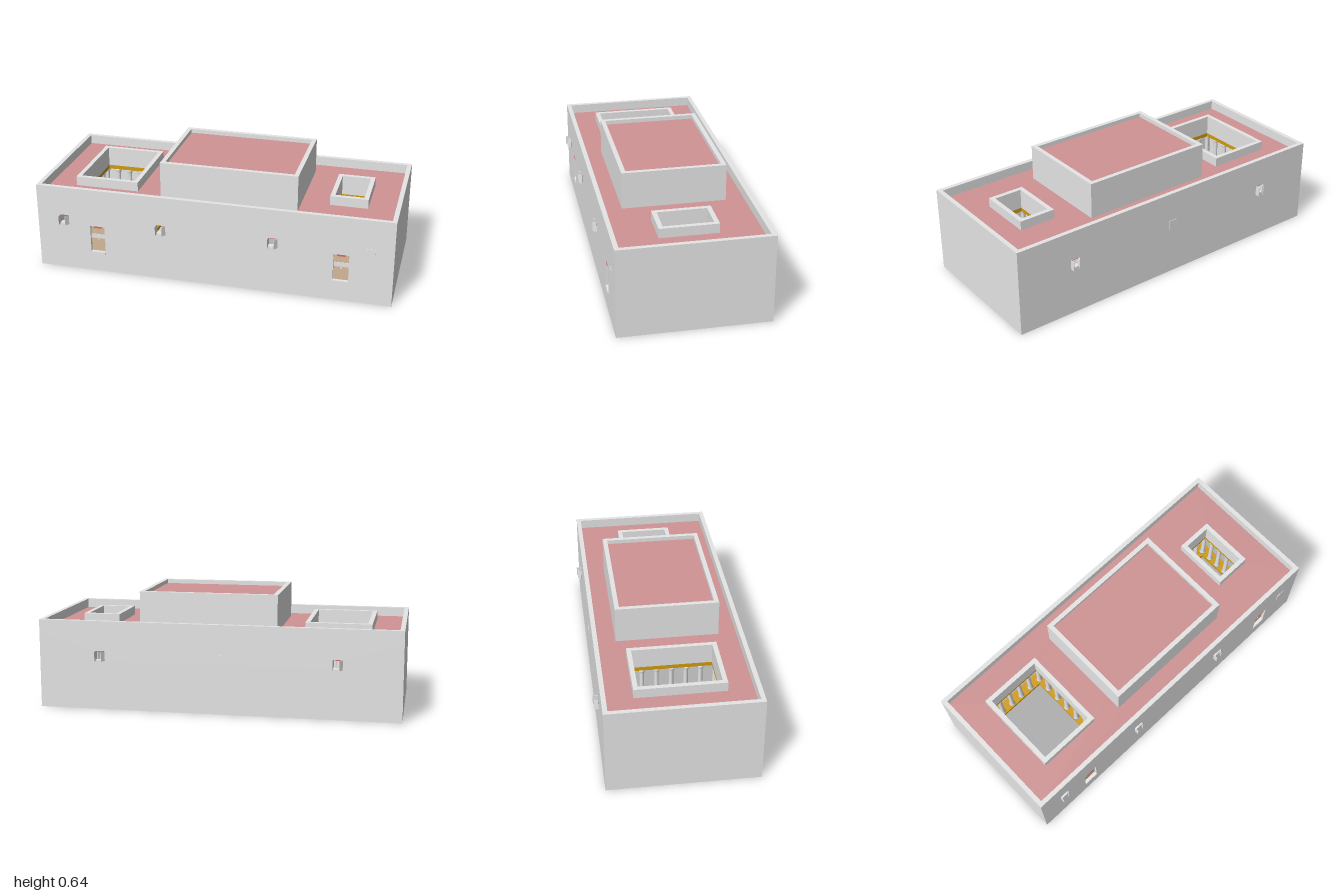
import * as THREE from 'three';

const material = (name, color) => Object.assign(new THREE.MeshStandardMaterial({ color }), { name });
const WALL = material('pale grey plaster', 0xe6e6e6);
const ROOF = material('dusty pink roof', 0xd09494);
const GOLD = material('ochre timber', 0xd29c0e);
const TAN = material('tan door', 0xd8bc9c);
const WHITE = material('white stone', 0xfafafa);
const RED = material('red lintel', 0xd86464);

const HX = 0.995, HZ = 0.405;            // half size of the main body
const FLOOR = 0.11, CEIL = 0.42, DECK = 0.44, TOP = 0.492;
const THICK = 0.03, RIM = 0.025;         // wall and parapet thickness
const WIN_W = 0.052, WIN_Y0 = 0.272, WIN_Y1 = 0.326;

const WELLS = [
  { name: 'left', x: 0.712, z: -0.002, hx: 0.104, hz: 0.157, nx: 4, nz: 6 },
  { name: 'right', x: -0.638, z: 0.003, hx: 0.181, hz: 0.241, nx: 6, nz: 7 },
];

function add(parent, name, geometry, mat, x = 0, y = 0, z = 0) {
  const mesh = new THREE.Mesh(geometry, mat);
  mesh.name = name;
  mesh.position.set(x, y, z);
  parent.add(mesh);
  return mesh;
}

function box(parent, name, mat, x0, x1, y0, y1, z0, z1) {
  return add(parent, name, new THREE.BoxGeometry(x1 - x0, y1 - y0, z1 - z0), mat,
    (x0 + x1) / 2, (y0 + y1) / 2, (z0 + z1) / 2);
}

function rect(Type, x0, x1, y0, y1) {
  return new Type([[x0, y0], [x1, y0], [x1, y1], [x0, y1]].map(p => new THREE.Vector2(...p)));
}

// Horizontal slab with rectangular openings, each {x, z, hx, hz}
function slab(parent, name, mat, outer, holes, y0, y1) {
  const make = (Type, r) => rect(Type, r.x - r.hx, r.x + r.hx, -r.z - r.hz, -r.z + r.hz);
  const shape = make(THREE.Shape, outer);
  shape.holes = holes.map(h => make(THREE.Path, h));
  const g = new THREE.ExtrudeGeometry(shape, { depth: y1 - y0, bevelEnabled: false });
  return add(parent, name, g.rotateX(-Math.PI / 2), mat, 0, y0, 0);
}

const inset = (r, d) => ({ x: r.x, z: r.z, hx: r.hx - d, hz: r.hz - d });

// Long wall with openings, each [x0, x1, y0, y1]; the outside is at z = HZ
function longWall(parent, name, openings) {
  const shape = rect(THREE.Shape, -HX, HX, FLOOR, CEIL);
  shape.holes = openings.map(o => rect(THREE.Path, ...o));
  const g = new THREE.ExtrudeGeometry(shape, { depth: THICK, bevelEnabled: false });
  return add(parent, name, g, WALL, 0, 0, HZ - THICK);
}

// Open window: one leaf square to the wall, the other half open
function windowParts(parent, x) {
  const g = new THREE.Group();
  g.name = 'window';
  g.position.set(x, 0, HZ);
  box(g, 'windowHead', RED, -0.018, 0.018, WIN_Y1 - 0.004, WIN_Y1 + 0.001, -THICK + 0.002, -0.002);
  box(g, 'windowSill', WHITE, -WIN_W / 2, WIN_W / 2, WIN_Y0 - 0.001, WIN_Y0 + 0.004, -THICK, -0.002);
  for (const s of [-1, 1]) {
    const leaf = new THREE.BoxGeometry(0.026, WIN_Y1 - WIN_Y0, 0.003).translate(-s * 0.013, 0, 0);
    const mesh = add(g, 'shutter', leaf, WALL, s * WIN_W / 2, (WIN_Y0 + WIN_Y1) / 2, 0.001);
    mesh.rotation.y = s > 0 ? 0.95 : -1.56;
  }
  parent.add(g);
}

// Closed window: shutters almost flush with the wall
function closedWindow(parent, x) {
  box(parent, 'closedShutters', WALL, x - WIN_W / 2, x + WIN_W / 2, WIN_Y0, WIN_Y1, HZ - 0.002, HZ + 0.003);
}

function doorParts(parent, x) {
  const g = new THREE.Group();
  g.name = 'door';
  g.position.set(x, 0, HZ);
  box(g, 'doorLeaf', TAN, -0.042, 0.042, 0.114, 0.272, -0.025, -0.016);
  box(g, 'doorRail', WALL, -0.042, 0.042, 0.198, 0.222, -0.016, -0.012);
  box(g, 'doorSill', WHITE, -0.042, 0.042, 0.106, 0.119, -THICK - 0.003, 0.003);
  box(g, 'doorHead', RED, -0.022, 0.022, 0.266, 0.275, -0.016, 0.001);
  const knob = new THREE.CylinderGeometry(0.005, 0.005, 0.006, 10).rotateX(Math.PI / 2);
  add(g, 'doorKnob', knob, WHITE, 0, 0.19, -0.014);
  parent.add(g);
}

function courtyard(parent, w) {
  const g = new THREE.Group();
  g.name = w.name + 'Courtyard';
  const hole = inset(w, RIM - 0.003), outer = inset(w, -0.041);
  slab(g, 'shaft', WALL, w, [inset(w, RIM)], 0.38, TOP);
  slab(g, 'topBeam', GOLD, outer, [hole], 0.355, 0.38);
  slab(g, 'baseBeam', GOLD, outer, [hole], 0.1, 0.12);
  // Columns close around the opening, with wider heads and feet
  const profile = [[0, 0], [0.018, 0], [0.018, 0.012], [0.013, 0.018], [0.012, 0.208],
    [0.019, 0.222], [0.019, 0.235], [0, 0.235]].map(p => new THREE.Vector2(...p));
  const column = new THREE.LatheGeometry(profile, 12);
  const cx = hole.hx + 0.019, cz = hole.hz + 0.019;
  const put = (x, z) => add(g, 'column', column, WALL, w.x + x, 0.12, w.z + z);
  for (const s of [-1, 1]) {
    for (let i = 0; i < w.nx; i++) put(cx * (2 * i / (w.nx - 1) - 1), s * cz);
    for (let i = 1; i < w.nz - 1; i++) put(s * cx, cz * (2 * i / (w.nz - 1) - 1));
  }
  parent.add(g);
}

export function createModel() {
  const model = new THREE.Group();
  model.name = 'courtyardHouse';
  const house = new THREE.Group();
  house.name = 'house';
  house.rotation.y = -0.0115;
  model.add(house);
  const body = { x: 0, z: 0, hx: HX, hz: HZ };

  // Thin skirt below floor level, end walls and parapet
  slab(house, 'skirt', WALL, body, [inset(body, 0.003)], 0, FLOOR);
  for (const s of [-1, 1]) {
    const a = s * HX, b = s * (HX - THICK);
    box(house, 'endWall', WALL, Math.min(a, b), Math.max(a, b), FLOOR, CEIL, -HZ + THICK, HZ - THICK);
  }
  slab(house, 'parapet', WALL, body, [inset(body, RIM)], CEIL, TOP);

  // Front and back walls with their openings
  const win = x => [x - WIN_W / 2, x + WIN_W / 2, WIN_Y0, WIN_Y1];
  const door = x => [x - 0.042, x + 0.042, 0.112, 0.274];
  const frontWindows = [-0.838, -0.278, 0.346], doors = [-0.646, 0.717], backWindows = [-0.65, 0.65];
  const front = new THREE.Group(), back = new THREE.Group();
  front.name = 'frontSide';
  back.name = 'backSide';
  back.rotation.y = Math.PI;
  longWall(front, 'frontWall', [...frontWindows.map(win), ...doors.map(door)]);
  longWall(back, 'backWall', backWindows.map(win));
  frontWindows.forEach(x => windowParts(front, x));
  doors.forEach(x => doorParts(front, x));
  backWindows.forEach(x => windowParts(back, x));
  closedWindow(front, 0.87);
  closedWindow(back, 0);
  house.add(front, back);

  // Roof deck pierced by the courtyards
  const deck = inset(body, RIM);
  slab(house, 'ceiling', WALL, deck, WELLS, CEIL, DECK - 0.005);
  slab(house, 'roofDeck', ROOF, deck, WELLS, DECK - 0.005, DECK);
  WELLS.forEach(w => courtyard(house, w));

  // Upper storey
  const upper = { x: 0.071, z: 0.001, hx: 0.383, hz: 0.281 };
  slab(house, 'upperWalls', WALL, upper, [inset(upper, RIM)], DECK, 0.643);
  slab(house, 'upperRoof', ROOF, inset(upper, RIM), [], 0.61, 0.62);
  return model;
}
